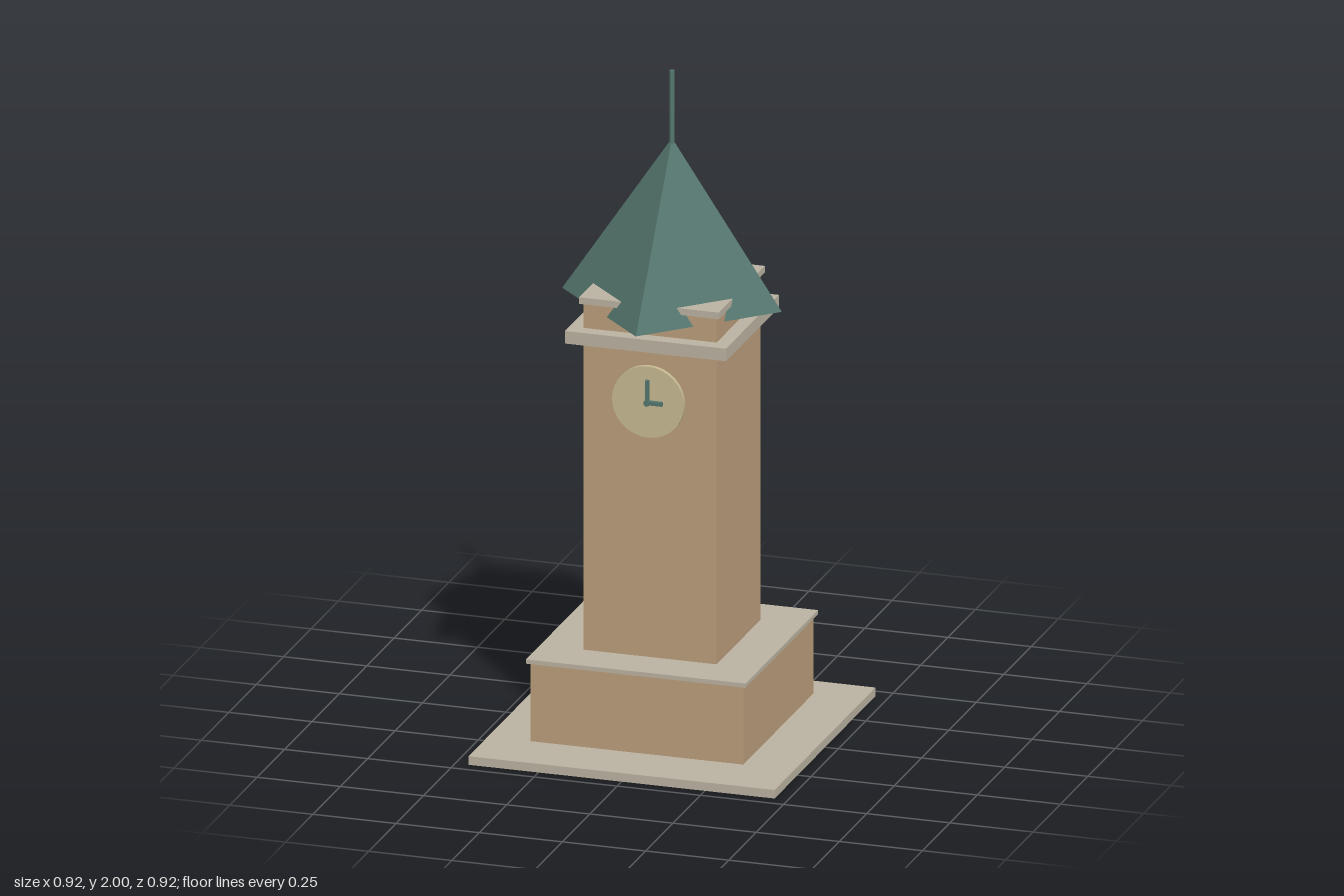
import * as THREE from 'three';

export function createModel() {
  const tower = new THREE.Group();
  tower.name = 'clockTower';

  const material = (name, color, flatShading = false) => {
    const m = new THREE.MeshStandardMaterial({ color, flatShading });
    m.name = name;
    return m;
  };
  const brick = material('brick', 0xba9d7a);
  const stone = material('stone', 0xbab2a1);
  const copper = material('copper', 0x54766e, true);
  const dial = material('dial', 0xc6b992);

  const add = (name, geometry, mat, parent = tower) => {
    const mesh = new THREE.Mesh(geometry, mat);
    mesh.name = name;
    parent.add(mesh);
    return mesh;
  };
  // Square storey given by its half width and its bottom and top heights
  const storey = (name, half, y0, y1, mat) => {
    add(name, new THREE.BoxGeometry(half * 2, y1 - y0, half * 2), mat)
      .position.y = (y0 + y1) / 2;
  };

  storey('groundSlab', 0.46, 0, 0.026, stone);
  storey('plinth', 0.32, 0.04, 0.277, brick);
  storey('plinthCap', 0.33, 0.277, 0.29, stone);
  storey('shaft', 0.2, 0.29, 1.227, brick);
  storey('cornice', 0.242, 1.227, 1.265, stone);
  storey('parapet', 0.2, 1.265, 1.34, brick);
  storey('parapetCap', 0.21, 1.34, 1.36, stone);

  // Four-sided roof set cornerwise, so the parapet corners break through it
  add('roof', new THREE.ConeGeometry(0.33, 0.49, 4), copper).position.y = 1.55;
  add('finial', new THREE.CylinderGeometry(0.008, 0.008, 0.22, 8), copper).position.y = 1.89;

  // Clocks on the front and back; both hour hands point towards +x
  for (const side of [1, -1]) {
    const clock = new THREE.Group();
    clock.name = side > 0 ? 'frontClock' : 'backClock';
    clock.position.set(0, 1.069, side * 0.213);
    tower.add(clock);

    const face = add('clockFace', new THREE.CylinderGeometry(0.108, 0.108, 0.013, 32), dial, clock);
    face.rotation.x = Math.PI / 2;
    const minute = add('minuteHand', new THREE.BoxGeometry(0.01, 0.068, 0.01), copper, clock);
    minute.position.set(0, 0.034, side * 0.0125);
    const hour = add('hourHand', new THREE.BoxGeometry(0.046, 0.012, 0.01), copper, clock);
    hour.position.set(0.023, 0, side * 0.0125);
    const hub = add('hub', new THREE.CylinderGeometry(0.01, 0.01, 0.014, 12), copper, clock);
    hub.rotation.x = Math.PI / 2;
    hub.position.z = side * 0.013;
  }
  return tower;
}
